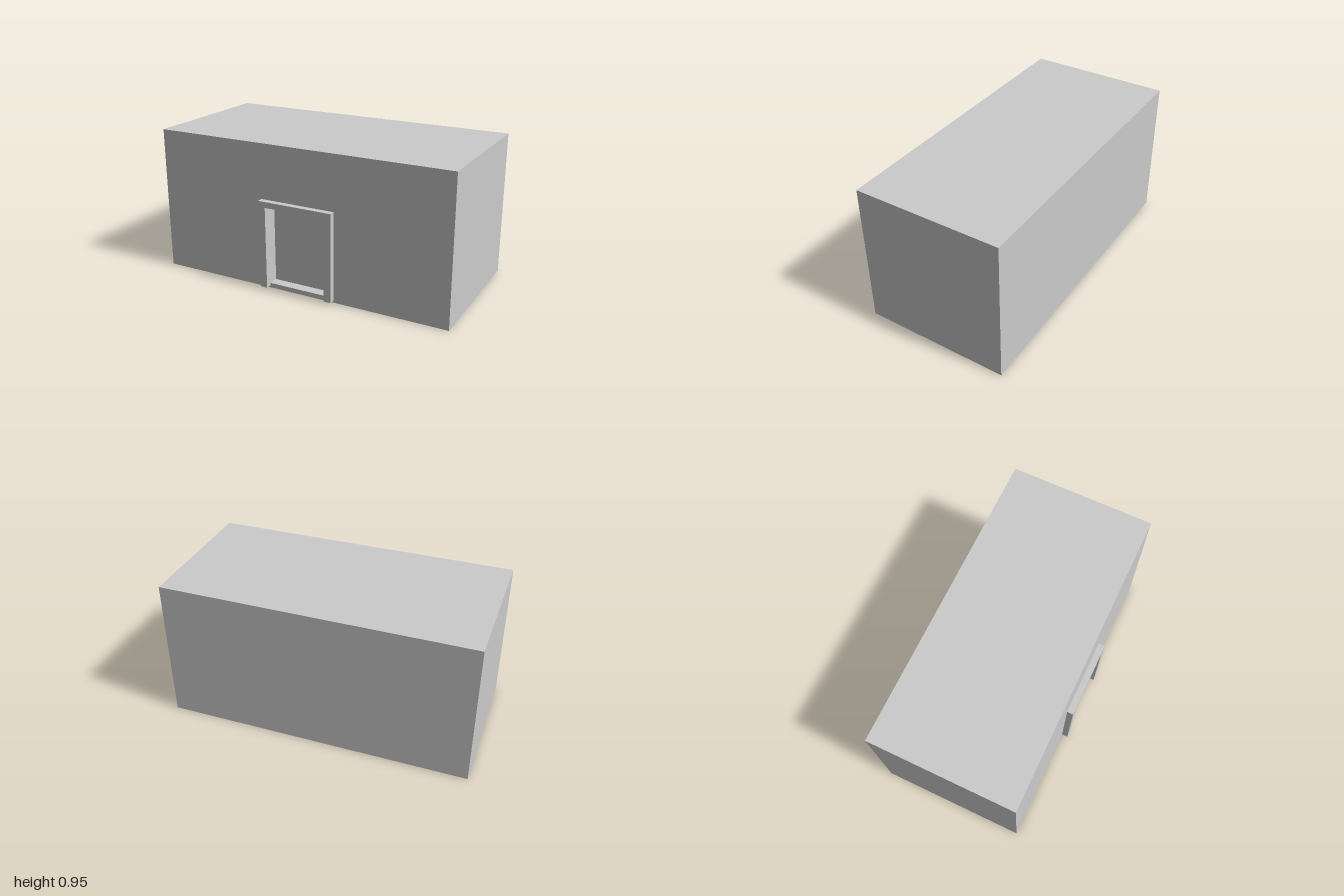
import * as THREE from 'three';

const HEIGHT = 0.948, FRONT = 0.455, BACK = -0.495;
const DOOR_HALF = 0.206, DOOR_TOP = 0.553, DOOR_BOTTOM = 0.014, RECESS = 0.388;

const grey = new THREE.MeshStandardMaterial({ color: 0xcccccc, side: THREE.DoubleSide });
const light = new THREE.MeshStandardMaterial({ color: 0xffffff });

function addMesh(group, name, geometry, material, x = 0, y = 0, z = 0) {
  const mesh = new THREE.Mesh(geometry, material);
  mesh.name = name;
  mesh.position.set(x, y, z);
  group.add(mesh);
}

function rectangle(PathType, halfWidth, bottom, top) {
  return new PathType([
    new THREE.Vector2(-halfWidth, bottom), new THREE.Vector2(halfWidth, bottom),
    new THREE.Vector2(halfWidth, top), new THREE.Vector2(-halfWidth, top),
  ]);
}

export function createModel() {
  const model = new THREE.Group();
  model.name = 'building';

  // Roof, floor, back and side walls: a box without its front face
  const shell = new THREE.BoxGeometry(2, HEIGHT, FRONT - BACK);
  const index = Array.from(shell.index.array);
  index.splice(24, 6);
  shell.setIndex(index);
  shell.clearGroups();
  addMesh(model, 'shell', shell, grey, 0, HEIGHT / 2, (FRONT + BACK) / 2);

  // Front wall with the doorway cut out
  const wall = rectangle(THREE.Shape, 1, 0, HEIGHT);
  wall.holes.push(rectangle(THREE.Path, DOOR_HALF, DOOR_BOTTOM, DOOR_TOP));
  addMesh(model, 'frontWall', new THREE.ShapeGeometry(wall), grey, 0, 0, FRONT);

  // Door frame: two jambs and a lintel that stand proud and line the recess
  const outer = 0.254, top = 0.591, foot = DOOR_BOTTOM;
  const frame = new THREE.Shape([
    [-outer, foot], [-DOOR_HALF, foot], [-DOOR_HALF, DOOR_TOP], [DOOR_HALF, DOOR_TOP],
    [DOOR_HALF, foot], [outer, foot], [outer, top], [-outer, top],
  ].map(([x, y]) => new THREE.Vector2(x, y)));
  const frameDepth = 0.495 - RECESS;
  addMesh(model, 'doorFrame',
    new THREE.ExtrudeGeometry(frame, { depth: frameDepth, bevelEnabled: false }), grey, 0, 0, RECESS);

  // Threshold between the jambs
  const sill = 0.017;
  addMesh(model, 'threshold', new THREE.BoxGeometry(DOOR_HALF * 2, sill, FRONT - RECESS),
    light, 0, DOOR_BOTTOM + sill / 2, (FRONT + RECESS) / 2);

  // Recessed door leaf
  const leaf = 0.03;
  addMesh(model, 'door', new THREE.BoxGeometry(DOOR_HALF * 2, DOOR_TOP - DOOR_BOTTOM, leaf),
    light, 0, (DOOR_TOP + DOOR_BOTTOM) / 2, RECESS - leaf / 2);

  return model;
}
